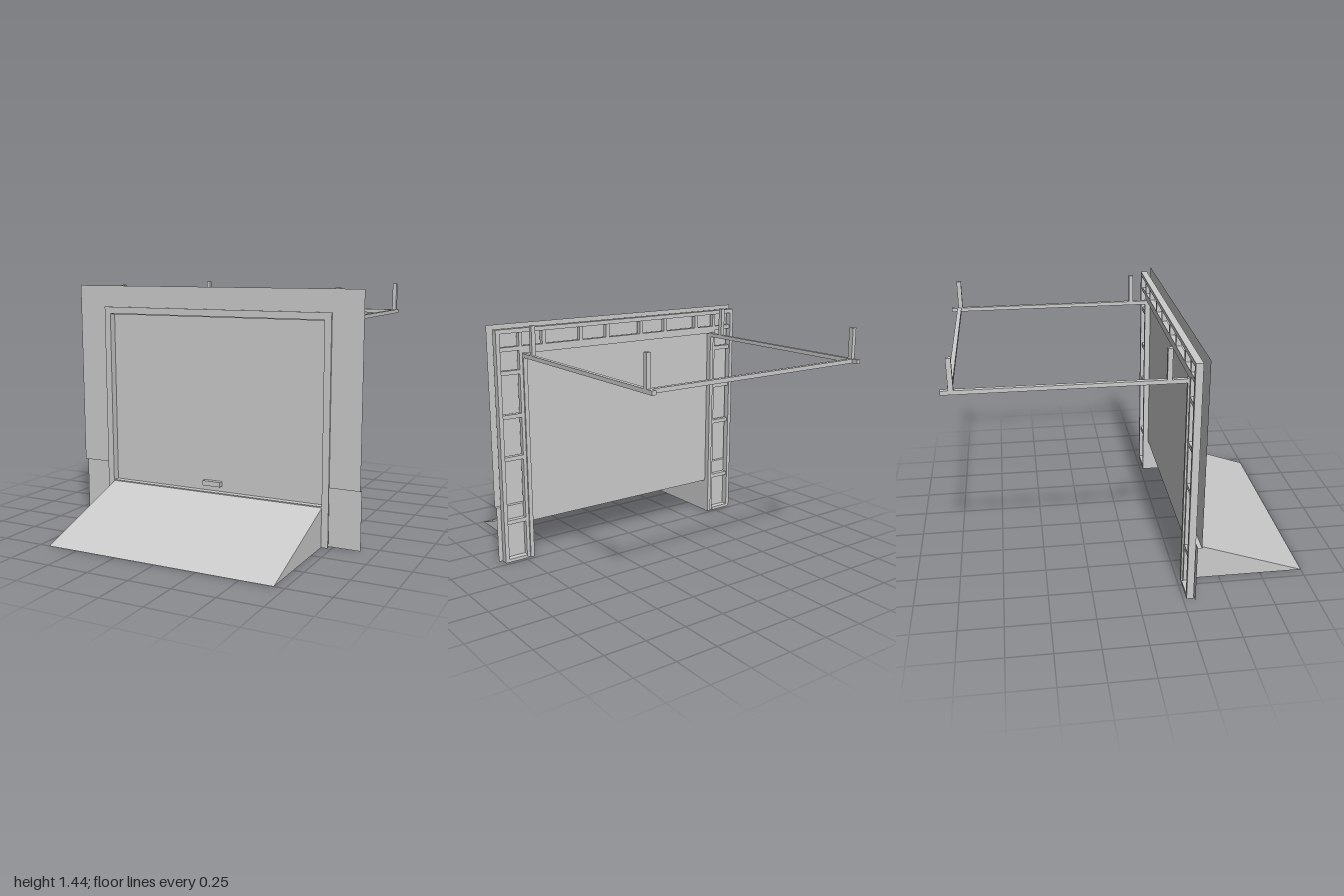
import * as THREE from 'three';

export function createModel() {
  const model = new THREE.Group();
  const mat = new THREE.MeshStandardMaterial({ color: 0xcccccc, flatShading: true, side: THREE.DoubleSide });

  function add(name, geometry) {
    const mesh = new THREE.Mesh(geometry, mat);
    mesh.name = name;
    model.add(mesh);
    return mesh;
  }
  // Box given by its limits on each axis
  function box(name, x0, x1, y0, y1, z0, z1) {
    const g = new THREE.BoxGeometry(x1 - x0, y1 - y0, z1 - z0);
    return add(name, g.translate((x0 + x1) / 2, (y0 + y1) / 2, (z0 + z1) / 2));
  }
  // The same box on both sides
  function pair(name, x0, x1, y0, y1, z0, z1) {
    box(name + 'Left', x0, x1, y0, y1, z0, z1);
    box(name + 'Right', -x1, -x0, y0, y1, z0, z1);
  }
  // Outline of an upside-down U
  function arch(outerX, outerY, innerX, innerY, bottom) {
    return new THREE.Shape([
      [-outerX, bottom], [-innerX, bottom], [-innerX, innerY], [innerX, innerY],
      [innerX, bottom], [outerX, bottom], [outerX, outerY], [-outerX, outerY],
    ].map(([x, y]) => new THREE.Vector2(x, y)));
  }

  // Wall cladding: thin upper sheet, set-back lower panels and the ledge between
  add('upperCladding', new THREE.ShapeGeometry(arch(0.91, 1.437, 0.7, 1.28, 0.345)).translate(0, 0, 0.34));
  for (const s of [-1, 1]) {
    add('lowerCladding', new THREE.PlaneGeometry(0.21, 0.345).translate(s * 0.805, 0.1725, 0.316));
    add('claddingLedge', new THREE.PlaneGeometry(0.21, 0.024).rotateX(-Math.PI / 2).translate(s * 0.805, 0.345, 0.328));
  }

  // Casing around the opening
  add('casing', new THREE.ExtrudeGeometry(arch(0.73, 1.31, 0.69, 1.27, 0), { depth: 0.009, bevelEnabled: false })
    .translate(0, 0, 0.341));

  // Opening lining
  pair('jamb', 0.69, 0.715, 0, 1.27, 0.27, 0.341);
  box('headLining', -0.715, 0.715, 1.265, 1.285, 0.28, 0.341);

  // Wall framing
  pair('outerStud', 0.86, 0.885, 0, 1.39, 0.27, 0.31);
  pair('innerStud', 0.715, 0.735, 0, 1.39, 0.28, 0.31);
  box('topPlate', -0.885, 0.885, 1.39, 1.415, 0.27, 0.31);
  box('headerPlate', -0.86, 0.86, 1.285, 1.31, 0.28, 0.31);
  pair('bottomPlate', 0.735, 0.86, 0, 0.02, 0.27, 0.31);
  for (const y of [0.25, 0.645, 0.9, 1.16]) {
    pair('noggin', 0.735, 0.86, y - 0.0125, y + 0.0125, 0.28, 0.31);
  }
  for (const x of [-0.575, -0.32, -0.13, 0.125, 0.315, 0.57]) {
    box('crippleStud', x - 0.0125, x + 0.0125, 1.31, 1.39, 0.28, 0.31);
  }

  // Door with its handle
  add('door', new THREE.PlaneGeometry(1.38, 1.04).translate(0, 0.75, 0.305));
  box('handle', -0.07, 0.045, 0.267, 0.296, 0.305, 0.335);

  // Ramp: open shell of a slope and two sides
  const [w, h, z0, z1] = [0.69, 0.228, 0.345, 1];
  const ramp = new THREE.BufferGeometry();
  ramp.setAttribute('position', new THREE.Float32BufferAttribute([
    -w, h, z0, -w, 0, z1, w, 0, z1,
    -w, h, z0, w, 0, z1, w, h, z0,
    w, h, z0, w, 0, z1, w, 0, z0,
    -w, h, z0, -w, 0, z0, -w, 0, z1,
  ], 3));
  ramp.computeVertexNormals();
  add('ramp', ramp);
  box('rampLip', -w, w, h - 0.006, h + 0.006, 0.305, z0);

  // Overhead rails, cross bar and ceiling hangers
  pair('rail', 0.69, 0.715, 1.242, 1.265, -1, 0.27);
  box('railCrossBar', -0.69, 0.69, 1.242, 1.265, -0.965, -0.94);
  for (const z of [0.175, -0.945]) {
    pair('hanger', 0.69, 0.715, 1.265, 1.438, z - 0.0135, z + 0.0135);
  }
  return model;
}
